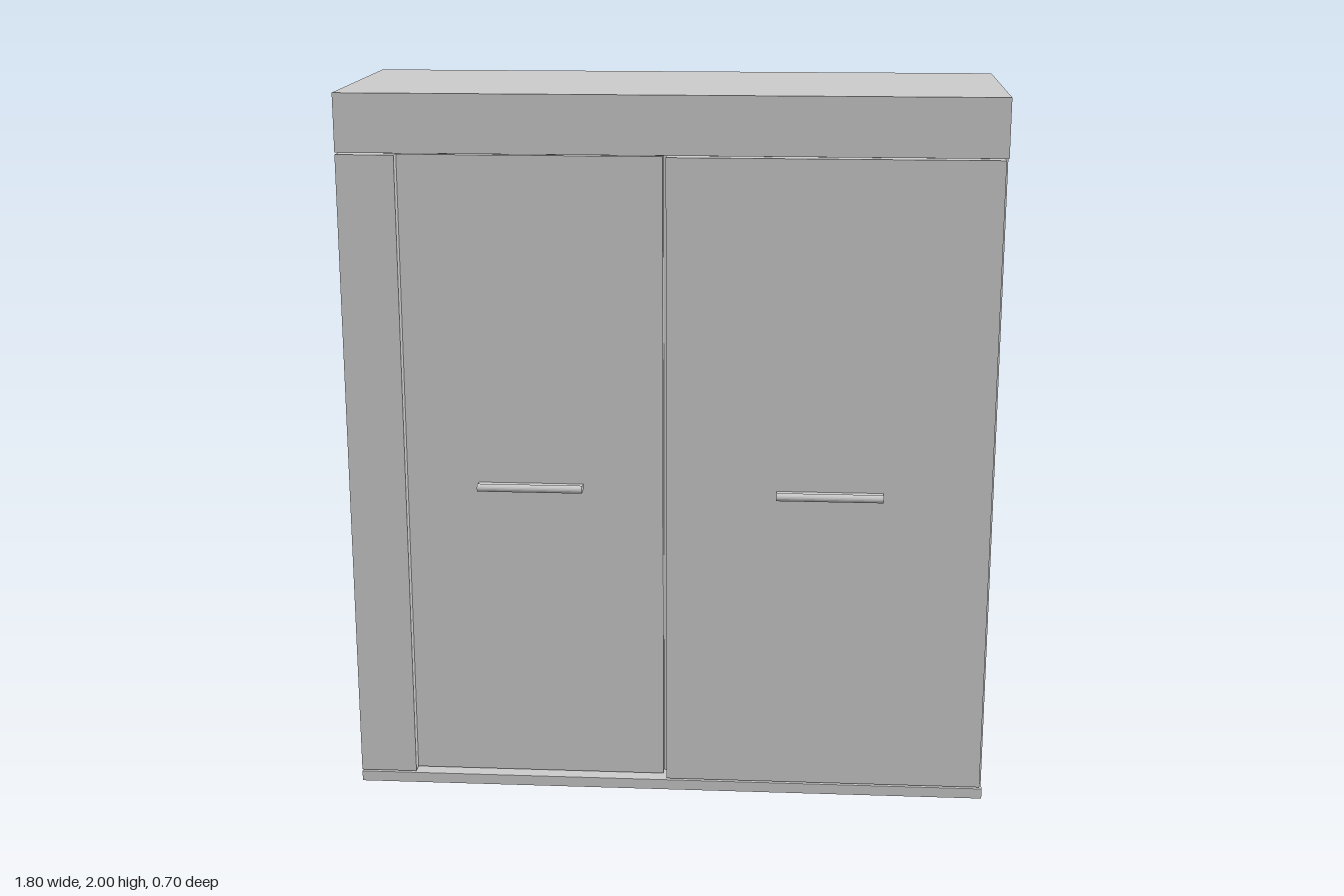
import * as THREE from 'three';

const grey = new THREE.MeshStandardMaterial({ color: 0xcccccc });

// Box given by its lower and upper limits on each axis
function panel(group, name, [x0, x1], [y0, y1], [z0, z1]) {
  const mesh = new THREE.Mesh(new THREE.BoxGeometry(x1 - x0, y1 - y0, z1 - z0), grey);
  mesh.position.set((x0 + x1) / 2, (y0 + y1) / 2, (z0 + z1) / 2);
  mesh.name = name;
  group.add(mesh);
}

// Bar handle: a thin neck ending in a rounded grip, extruded along x
function handle(name, x, z) {
  const neck = 0.007, r = 0.011, reach = 0.031;
  const a = Math.asin(neck / r);
  const profile = new THREE.Shape();
  profile.moveTo(0, -neck);
  profile.lineTo(reach - r * Math.cos(a), -neck);
  profile.absarc(reach, 0, r, Math.PI + a, Math.PI * 3 - a, false);
  profile.lineTo(0, neck);
  profile.closePath();
  const length = 0.295;
  const geo = new THREE.ExtrudeGeometry(profile, { depth: length, bevelEnabled: false, curveSegments: 16 });
  geo.translate(0, 0, -length / 2);
  geo.rotateY(-Math.PI / 2); // profile x becomes +z
  const mesh = new THREE.Mesh(geo, grey);
  mesh.name = name;
  mesh.position.set(x, 0.905, z);
  return mesh;
}

export function createModel() {
  const g = new THREE.Group();
  g.name = 'slidingDoorWardrobe';
  const W = 0.9, T = 0.03, back = -0.35, mid = 0.27, front = 0.305;

  // Carcass
  for (const [name, s] of [['leftSide', 1], ['rightSide', -1]]) {
    const xs = [s * W, s * (W - T)].sort((a, b) => a - b);
    panel(g, name, xs, [0, 2], [back, mid]);
  }
  panel(g, 'topPanel', [-W + T, W - T], [2 - T, 2], [back, mid]);
  panel(g, 'bottomPanel', [-W + T, W - T], [0, T], [back, mid]);
  panel(g, 'backPanel', [-W + T, W - T], [T, 2 - T], [back + 0.045, back + 0.065]);
  panel(g, 'divider', [-0.025, 0.005], [T, 2 - T], [back + 0.065, 0.235]);
  panel(g, 'doorHeader', [-W + T, W - T], [1.835, 2 - T], [0.235, mid]);

  // Front trim
  panel(g, 'fascia', [-W, W], [1.84, 2], [mid, front]);
  panel(g, 'plinth', [-W, W], [0, 0.03], [mid, front]);
  panel(g, 'fillerPanel', [-W, -0.74], [0.035, 1.835], [mid, front]);

  // Doors: one set back, one flush with the trim
  panel(g, 'recessedDoor', [-W + T, -0.018], [0.035, 1.833], [0.237, mid + 0.002]);
  panel(g, 'frontDoor', [-0.007, 0.893], [0.035, 1.835], [mid, front]);

  g.add(handle('recessedDoorHandle', -0.39, 0.272), handle('frontDoorHandle', 0.4475, front));
  return g;
}
